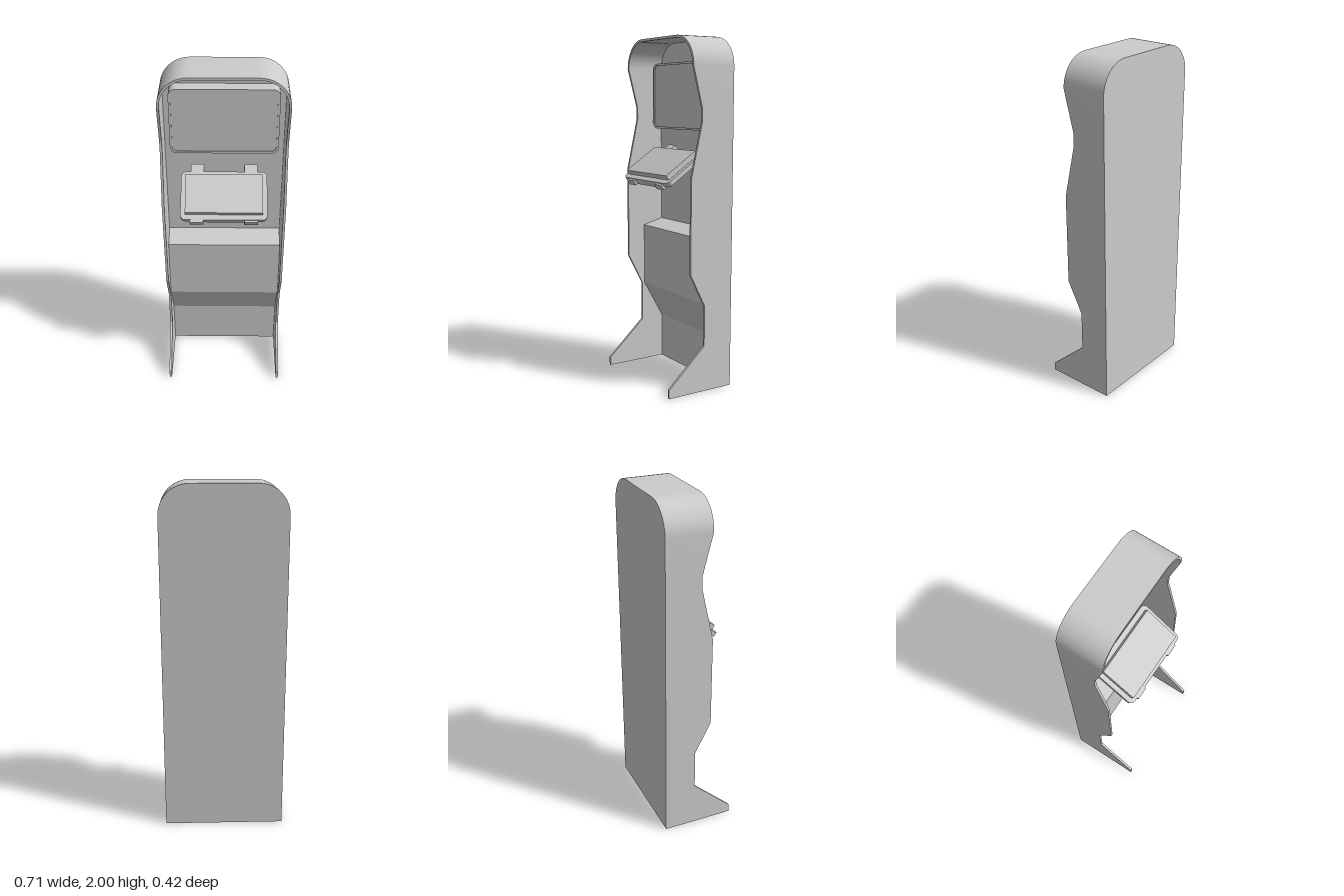
import * as THREE from 'three';
import { toCreasedNormals } from 'three/addons/utils/BufferGeometryUtils.js';

const BACK = -0.21, WALL = -0.17;
const THICK = 0.014, RADIUS = 0.17, ARC_Y = 1.83, ARC_X = 0.185;

// front edge of the side walls, as [y, z]
const PROFILE = [[0, 0.21], [0.05, 0.21], [0.265, -0.025], [0.5, -0.025], [0.685, 0.07],
  [1.22, 0.07], [1.53, 0], [1.6, 0], [ARC_Y, 0.06]];

// arch outline from the +x foot over the top to the -x foot, as [x, y, frontZ]
function archPath(inset) {
  const half = [];
  for (const [y, z] of PROFILE) half.push([0.346 + 0.009 * y / ARC_Y - inset, y, z]);
  for (let i = 1; i <= 12; i++) {
    const a = i / 12 * Math.PI / 2, r = RADIUS - inset;
    half.push([ARC_X + r * Math.cos(a), ARC_Y + r * Math.sin(a), 0.06]);
  }
  return [...half, ...half.slice().reverse().map(([x, y, z]) => [-x, y, z])];
}

// thin wall swept along the arch, its depth following the profile
function shellGeometry() {
  const outer = archPath(0), inner = archPath(THICK), pos = [];
  const sections = outer.map(([x, y, z], i) => {
    const [u, v] = inner[i];
    return [[x, y, BACK], [x, y, z], [u, v, z], [u, v, BACK]];
  });
  const quad = (a, b, c, d) => pos.push(...a, ...b, ...c, ...a, ...c, ...d);
  for (let i = 0; i < sections.length - 1; i++) {
    const s = sections[i], t = sections[i + 1];
    for (let j = 0; j < 4; j++) {
      const k = (j + 1) % 4;
      quad(s[j], t[j], t[k], s[k]);
    }
  }
  quad(...sections[0]);
  quad(...sections[sections.length - 1].slice().reverse());
  const g = new THREE.BufferGeometry();
  g.setAttribute('position', new THREE.Float32BufferAttribute(pos, 3));
  return toCreasedNormals(g, 0.25);
}

function roundedRect(Type, x0, y0, x1, y1, r) {
  const s = new Type(), q = Math.PI / 2;
  s.absarc(x1 - r, y0 + r, r, -q, 0);
  s.absarc(x1 - r, y1 - r, r, 0, q);
  s.absarc(x0 + r, y1 - r, r, q, 2 * q);
  s.absarc(x0 + r, y0 + r, r, 2 * q, 3 * q);
  s.closePath();
  return s;
}

const extrude = (shape, depth) => new THREE.ExtrudeGeometry(shape, { depth, bevelEnabled: false, curveSegments: 6 });

export function createModel() {
  const model = new THREE.Group();
  model.name = 'kiosk';
  const material = new THREE.MeshStandardMaterial({ color: 0xcccccc });
  const add = (parent, name, geometry, x = 0, y = 0, z = 0) => {
    const mesh = new THREE.Mesh(geometry, material);
    mesh.name = name;
    mesh.position.set(x, y, z);
    parent.add(mesh);
    return mesh;
  };

  // housing: wrap-around wall and back panel
  add(model, 'shell', shellGeometry());
  const panel = new THREE.Shape(archPath(THICK).map(([x, y]) => new THREE.Vector2(x, y)));
  add(model, 'backPanel', extrude(panel, WALL - BACK), 0, 0, BACK);

  // storage box with sloping underside and top
  const boxShape = new THREE.Shape([[WALL - 0.01, 0.27], [WALL, 0.27], [-0.04, 0.5], [-0.04, 0.87],
    [WALL, 0.905], [WALL - 0.01, 0.905]].map(([z, y]) => new THREE.Vector2(z, y)));
  const boxGeometry = extrude(boxShape, 0.67);
  boxGeometry.translate(0, 0, -0.335).rotateY(-Math.PI / 2);
  add(model, 'storageBox', boxGeometry);

  // display: raised frame with a slightly sunken screen
  const frame = roundedRect(THREE.Shape, -0.305, 1.475, 0.305, 1.865, 0.04);
  frame.holes.push(roundedRect(THREE.Path, -0.292, 1.487, 0.292, 1.853, 0.03));
  add(model, 'screenFrame', extrude(frame, 0.08), 0, 0, WALL);
  const screen = roundedRect(THREE.Shape, -0.292, 1.487, 0.292, 1.853, 0.03);
  add(model, 'screen', extrude(screen, 0.074), 0, 0, WALL);

  // sloping desk: local y is its normal, local z runs down toward the user
  const desk = new THREE.Group();
  desk.name = 'desk';
  desk.position.set(0, 1.232, 0.148);
  desk.rotation.x = THREE.MathUtils.degToRad(34);
  model.add(desk);
  const slab = (name, x0, x1, y0, y1, z0, z1) => add(desk, name,
    new THREE.BoxGeometry(x1 - x0, y1 - y0, z1 - z0), (x0 + x1) / 2, (y0 + y1) / 2, (z0 + z1) / 2);

  slab('deskTop', -0.218, 0.218, -0.031, 0, -0.235, 0);
  const plate = extrude(roundedRect(THREE.Shape, -0.245, -0.031, 0.245, 0.265, 0.03), 0.026);
  plate.rotateX(-Math.PI / 2);
  add(desk, 'deskPlate', plate, 0, -0.056, 0);
  for (const side of [-1, 1]) {
    const x = side * 0.153;
    slab(side > 0 ? 'leftBracket' : 'rightBracket', x - 0.038, x + 0.038, -0.07, -0.036, -0.314, 0.044);
  }
  slab('crossBar', -0.116, 0.116, -0.07, -0.05, -0.02, 0.03);

  return model;
}
